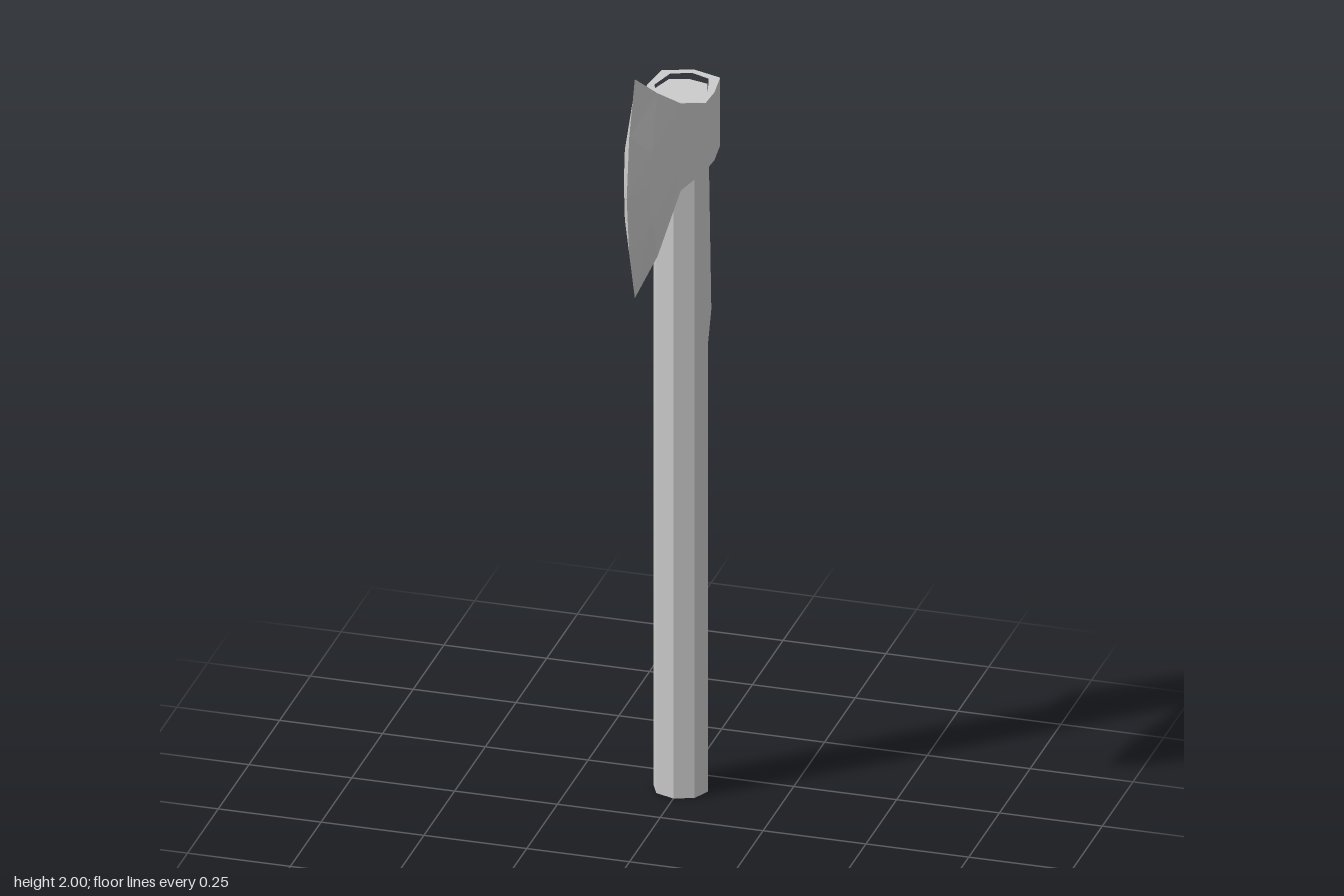
import * as THREE from 'three';

const material = new THREE.MeshStandardMaterial({ color: 0xcccccc, flatShading: true });

function part(name, geometry) {
  const mesh = new THREE.Mesh(geometry, material);
  mesh.name = name;
  return mesh;
}

// Octagonal shaft whose rear facets step out into a shoulder below the head
function handleGeometry() {
  const rings = [ // height, rear corner offset, rear diagonal offset (top to bottom)
    [1.795, 0.017, 0.022],
    [1.2, 0.045, 0.052],
    [1.15, 0, 0],
    [0, 0, 0],
  ];
  const geo = new THREE.CylinderGeometry(1, 1, 3, 8, 3);
  const pos = geo.attributes.position;
  for (let i = 0; i < pos.count; i++) {
    const [y, rear, diagonal] = rings[Math.round(1.5 - pos.getY(i))];
    const z = pos.getZ(i);
    const push = z < -0.9 ? rear : z < -0.1 ? diagonal : 0;
    pos.setXYZ(i, pos.getX(i) * 0.066, y, -0.166 + z * 0.059 - push);
  }
  geo.computeVertexNormals();
  return geo;
}

// Full closed outline from its +x half, given as [x, z] from rear to front
function mirroredOutline(half, Type) {
  const left = half.filter(([x]) => x > 0).map(([x, z]) => [-x, z]).reverse();
  return new Type([...half, ...left].map(([x, z]) => new THREE.Vector2(x, -z)));
}

// Socket that wraps the top of the handle
function socketGeometry() {
  const shape = mirroredOutline(
    [[0, -0.275], [0.071, -0.25], [0.081, -0.17], [0.078, -0.11], [0, -0.088]], THREE.Shape);
  shape.holes.push(mirroredOutline(
    [[0, -0.256], [0.047, -0.237], [0.065, -0.17], [0.047, -0.125], [0, -0.107]], THREE.Path));
  const geo = new THREE.ExtrudeGeometry(shape, { depth: 0.175, bevelEnabled: false });
  geo.rotateX(-Math.PI / 2);
  geo.translate(0, 1.63, 0);
  return geo;
}

// Blade lofted from socket to cutting edge; each station runs bottom ridge to top ridge
function bladeGeometry() {
  const station = (x, ys, zs) => ys.map((y, j) =>
    [j === 0 || j === ys.length - 1 ? 0 : x[Math.min(j, 6 - j) - 1], y, zs[j]]);
  const stations = [
    station([0.078, 0.078, 0.078], [1.63, 1.63, 1.67, 1.72, 1.765, 1.805, 1.805],
      [-0.088, -0.11, -0.11, -0.11, -0.11, -0.11, -0.088]),
    station([0.038, 0.038, 0.038], [1.603, 1.605, 1.66, 1.72, 1.775, 1.83, 1.832],
      [-0.04, -0.04, -0.04, -0.04, -0.04, -0.04, -0.04]),
    station([0.028, 0.033, 0.033], [1.495, 1.505, 1.62, 1.72, 1.8, 1.926, 1.937],
      [0.116, 0.116, 0.178, 0.186, 0.178, 0.116, 0.116]),
    station([0, 0, 0], [1.435, 1.435, 1.57, 1.72, 1.87, 2, 2],
      [0.207, 0.207, 0.253, 0.273, 0.253, 0.207, 0.207]),
  ];
  const out = [];
  const same = (p, q) => p.every((v, k) => v === q[k]);
  const tri = (a, b, c) => {
    if (same(a, b) || same(b, c) || same(a, c)) return;
    out.push(...a, ...b, ...c);
    for (const [x, y, z] of [a, c, b]) out.push(-x, y, z);
  };
  for (let i = 0; i < stations.length - 1; i++) {
    for (let j = 0; j < 6; j++) {
      const a = stations[i][j], b = stations[i][j + 1];
      const c = stations[i + 1][j], d = stations[i + 1][j + 1];
      tri(a, b, c);
      tri(b, d, c);
    }
  }
  const geo = new THREE.BufferGeometry();
  geo.setAttribute('position', new THREE.Float32BufferAttribute(out, 3));
  geo.computeVertexNormals();
  return geo;
}

export function createModel() {
  const axe = new THREE.Group();
  axe.name = 'axe';
  const head = new THREE.Group();
  head.name = 'head';
  head.add(part('socket', socketGeometry()), part('blade', bladeGeometry()));
  axe.add(part('handle', handleGeometry()), head);
  return axe;
}
